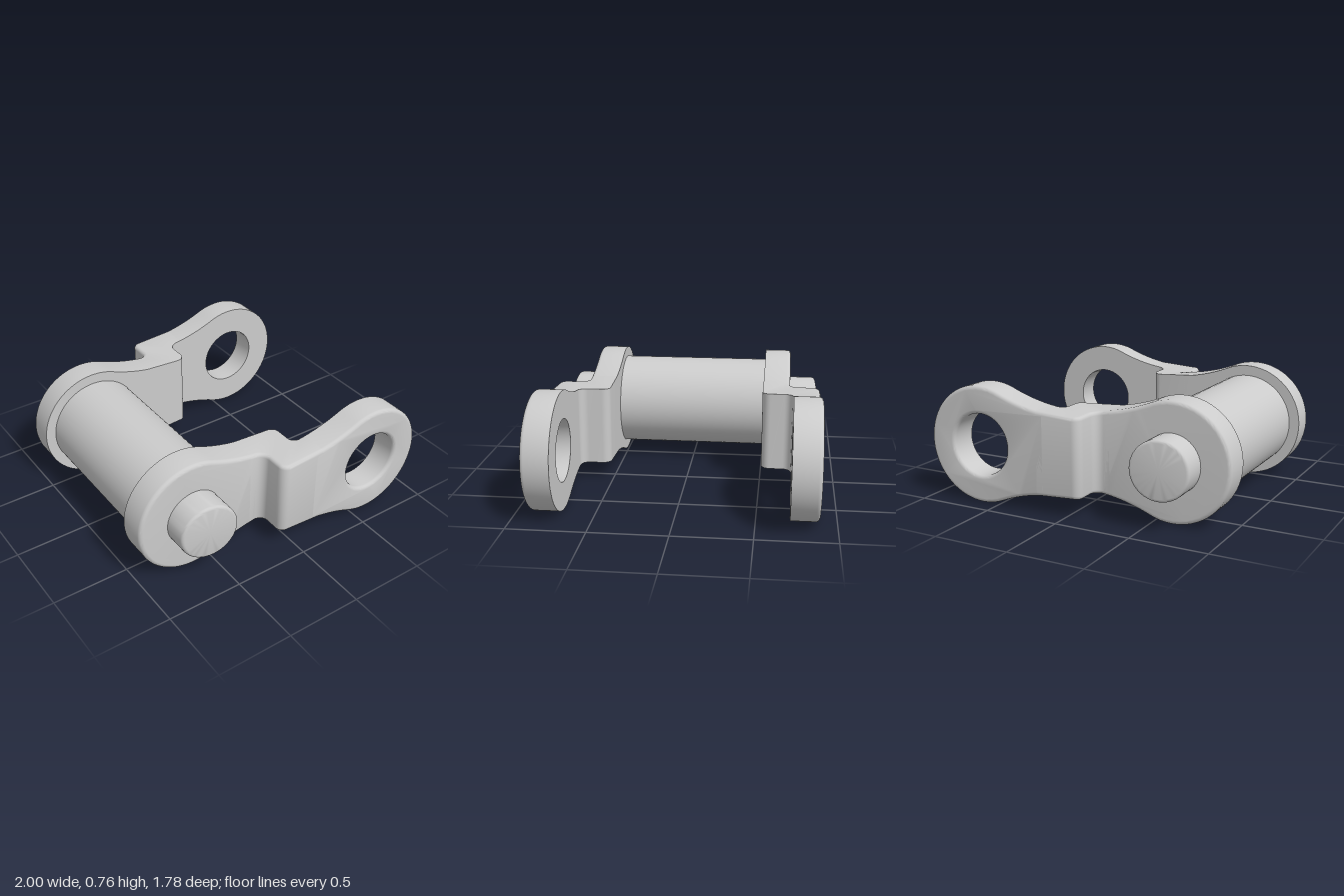
import * as THREE from 'three';
import { toCreasedNormals } from 'three/addons/utils/BufferGeometryUtils.js';

const C = 0.62;      // distance of each eye from the middle
const R = 0.38;      // eye radius
const WAIST = 1.22;  // radius of the concave waist arcs
const B = 0.025;     // edge rounding
const T = 0.18;      // plate thickness
const Z_IN = 0.51, Z_OUT = 0.71;

// half height of the plate outline at x
function halfHeight(x) {
  const a = Math.abs(x);
  if (a < (C * WAIST) / (WAIST + R)) return WAIST + 0.255 - Math.sqrt(WAIST * WAIST - a * a);
  return Math.sqrt(Math.max(0, R * R - (a - C) ** 2));
}

// flat eye end of a plate, rounded on its outer face only
function eyeEnd(withHole) {
  const pts = [];
  const xt = (C * WAIST) / (WAIST + R);
  const a0 = Math.acos((xt - C) / R);
  for (let i = 0; i < 12; i++) {
    const x = 0.13 + ((xt - 0.13) * i) / 12;
    pts.push(new THREE.Vector2(x, -halfHeight(x)));
  }
  for (let i = 0; i <= 64; i++) {
    const a = -a0 + (2 * a0 * i) / 64;
    pts.push(new THREE.Vector2(C + R * Math.cos(a), R * Math.sin(a)));
  }
  for (let i = 11; i >= 0; i--) pts.push(new THREE.Vector2(pts[i].x, -pts[i].y));
  const shape = new THREE.Shape(pts);
  if (withHole) shape.holes.push(new THREE.Path().absarc(C, 0, 0.2, 0, Math.PI * 2, true));
  const geo = new THREE.ExtrudeGeometry(shape, {
    depth: T - B, curveSegments: 48,
    bevelThickness: B, bevelSize: B, bevelOffset: -B, bevelSegments: 4,
  });
  // flatten the inner bevel so that edge stays sharp
  const p = geo.attributes.position;
  for (let i = 0; i < p.count; i++) if (p.getZ(i) < 0) p.setZ(i, 0);
  return toCreasedNormals(geo, 0.6);
}

// S-shaped step between the two ends, lofted through sections along the bend
function crank() {
  const r = 0.055, mid = (Z_IN + Z_OUT + T) / 2, top = Z_OUT + T, low = Z_IN + T;
  const outer = [[-0.2, low, 0, 1]]; // x, z and outward normal
  for (let i = 0; i <= 8; i++) {
    const a = (i / 8) * Math.PI / 2;
    outer.push([-0.105 - r + r * Math.sin(a), low + r - r * Math.cos(a), -Math.sin(a), Math.cos(a)]);
  }
  for (let i = 0; i <= 8; i++) {
    const a = (i / 8) * Math.PI / 2;
    outer.push([-0.105 + r - r * Math.cos(a), top - r + r * Math.sin(a), -Math.cos(a), Math.sin(a)]);
  }
  outer.push([0.2, top, 0, 1]);
  const n = outer.length, pos = [], idx = [];
  let m = 0;
  outer.forEach(([x, z, nx, nz], i) => {
    const opp = outer[n - 1 - i];
    const xi = -opp[0], zi = 2 * mid - opp[1];
    const half = [[xi, halfHeight(xi), zi]];
    for (let k = 4; k >= 0; k--) {
      const a = (k / 4) * Math.PI / 2, d = B * (1 - Math.cos(a));
      const px = x - nx * d;
      half.push([px, halfHeight(px) - B * (1 - Math.sin(a)), z - nz * d]);
    }
    const loop = [...half, ...half.slice().reverse().map(([a, b, c]) => [a, -b, c])];
    m = loop.length;
    loop.forEach((v) => pos.push(...v));
  });
  for (let i = 0; i < n - 1; i++) {
    for (let j = 0; j < m; j++) {
      const a = i * m + j, b = i * m + ((j + 1) % m);
      idx.push(a, b, a + m, b, b + m, a + m);
    }
  }
  const geo = new THREE.BufferGeometry();
  geo.setAttribute('position', new THREE.Float32BufferAttribute(pos, 3));
  geo.setIndex(idx);
  return toCreasedNormals(geo, 0.6);
}

// pin with rounded rims and slanted end faces
function pinGeometry() {
  const r = 0.188, L = 0.868, e = 0.02;
  const half = [[0, L]];
  for (let k = 0; k <= 4; k++) {
    const a = (k / 4) * Math.PI / 2;
    half.push([r - e + e * Math.sin(a), L - e + e * Math.cos(a)]);
  }
  half.push([r, 0.6]);
  const profile = [...half.map(([x, y]) => [x, -y]), ...half.reverse()];
  const geo = new THREE.LatheGeometry(profile.map(([x, y]) => new THREE.Vector2(x, y)), 48);
  geo.rotateX(Math.PI / 2);
  const p = geo.attributes.position;
  for (let i = 0; i < p.count; i++) {
    const z = p.getZ(i);
    if (Math.abs(z) > 0.7) p.setZ(i, z + Math.sign(z) * p.getX(i) * 0.1);
  }
  return toCreasedNormals(geo, 0.6);
}

export function createModel() {
  const mat = new THREE.MeshStandardMaterial({ color: 0xcccccc });
  const root = new THREE.Group();
  root.name = 'offsetChainLink';
  const body = new THREE.Group();
  body.name = 'link';
  body.position.y = R;
  root.add(body);

  const add = (parent, name, geo, x = 0, z = 0) => {
    const mesh = new THREE.Mesh(geo, mat);
    mesh.name = name;
    mesh.position.set(x, 0, z);
    parent.add(mesh);
    return mesh;
  };

  // cranked side plates; the back one is the front one turned over
  const holeEnd = eyeEnd(true), pinEnd = eyeEnd(false).rotateZ(Math.PI), step = crank();
  for (const side of ['front', 'back']) {
    const plate = new THREE.Group();
    plate.name = side + 'Plate';
    add(plate, 'holeEnd', holeEnd, 0, Z_OUT);
    add(plate, 'pinEnd', pinEnd, 0, Z_IN);
    add(plate, 'crank', step);
    if (side === 'back') plate.rotation.x = Math.PI;
    body.add(plate);
  }

  // roller between the plates and the pin through them
  const roller = new THREE.CylinderGeometry(0.312, 0.312, Z_IN * 2, 64).rotateX(Math.PI / 2);
  add(body, 'roller', roller, -C);
  add(body, 'pin', pinGeometry(), -C);
  return root;
}
